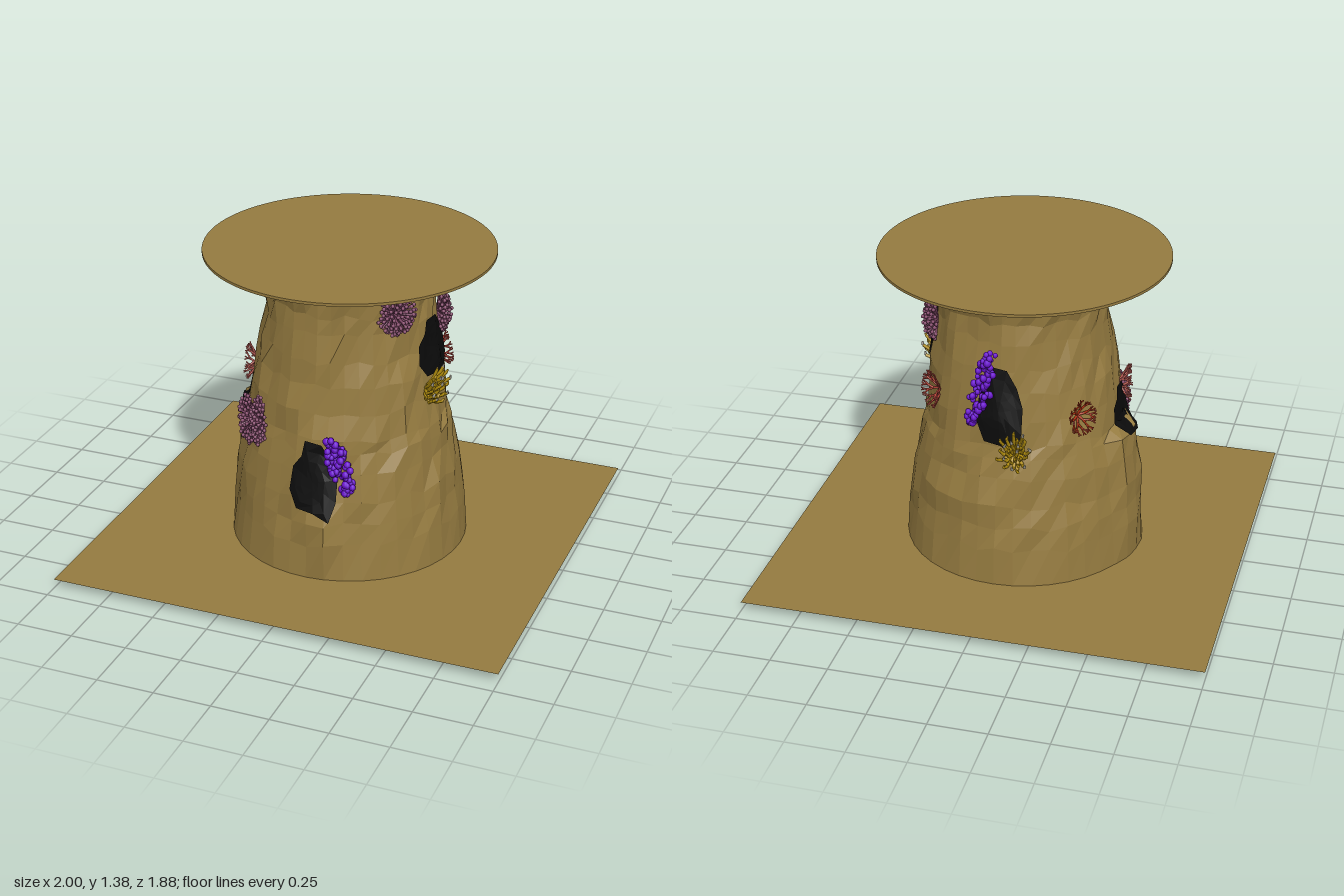
import * as THREE from 'three';
import { mergeGeometries } from 'three/addons/utils/BufferGeometryUtils.js';

const V = (x, y, z) => new THREE.Vector3(x, y, z);
const mat = (name, color, side = THREE.FrontSide) => {
  const m = new THREE.MeshStandardMaterial({ color, side });
  m.name = name;
  return m;
};

// Seeded random numbers
let seed = 7;
const rnd = (a = 0, b = 1) => {
  seed = (seed * 16807) % 2147483647;
  return a + (b - a) * (seed / 2147483647);
};

// Rock column: rows of [height, radius], angle 0 faces +z and grows towards +x
const ROWS = [[0.037, 0.525], [0.2, 0.507], [0.3, 0.497], [0.4, 0.487], [0.52, 0.462], [0.61, 0.445],
  [0.66, 0.435], [0.78, 0.417], [0.9, 0.4], [1.0, 0.382], [1.12, 0.366], [1.2, 0.362], [1.29, 0.375]];
const COLS = 40;
const TAU = Math.PI * 2;
const hat = (t, centre, width) => {
  const d = Math.abs(Math.atan2(Math.sin(t - centre), Math.cos(t - centre)));
  return Math.max(0, Math.min(1, 1.6 * (1 - d / width)));
};
const LIP = -Math.PI / 2 - 0.12;

// Table of radii with chiselled irregularity and the ledges under two caves
const radii = ROWS.map(([y, r], j) => Array.from({ length: COLS }, (_, i) => {
  const t = (i / COLS) * TAU;
  let out = r + (j === 0 ? 0 : rnd(-0.011, 0.011));
  if (y < 0.63) out += hat(t, LIP, 0.4) * (0.012 + 0.075 * y);
  if (y > 0.19 && y < 0.35) out += hat(t, 0.12, 0.22) * 0.025;
  return out;
}));

// Radius of the rock anywhere on its side
function rockRadius(t, y) {
  const u = ((t / TAU) % 1 + 1) % 1 * COLS;
  const i = Math.floor(u) % COLS, f = u - Math.floor(u), k = (i + 1) % COLS;
  let j = 0;
  while (j < ROWS.length - 2 && y > ROWS[j + 1][0]) j++;
  const g = (y - ROWS[j][0]) / (ROWS[j + 1][0] - ROWS[j][0]);
  const at = (row) => radii[row][i] * (1 - f) + radii[row][k] * f;
  return at(j) * (1 - g) + at(j + 1) * g;
}
const onRock = (t, y, off = 0) => {
  const r = rockRadius(t, y) + off;
  return V(Math.sin(t) * r, y, Math.cos(t) * r);
};

function flat(points, index) {
  let g = new THREE.BufferGeometry().setFromPoints(points);
  g.setIndex(index);
  g = g.toNonIndexed();
  g.computeVertexNormals();
  return g;
}

function rockGeometry() {
  const pts = [], idx = [];
  ROWS.forEach(([y], j) => {
    for (let i = 0; i < COLS; i++) {
      const t = (i / COLS) * TAU, r = radii[j][i];
      const dy = j === 0 ? -0.037 * hat(t, LIP - 0.2, 0.22) : rnd(-0.016, 0.016);
      pts.push(V(Math.sin(t) * r, y + dy, Math.cos(t) * r));
      if (j === 0) continue;
      const k = (i + 1) % COLS, a = (j - 1) * COLS, b = j * COLS;
      idx.push(a + i, a + k, b + k, a + i, b + k, b + i);
    }
  });
  // Closed underside
  pts.push(V(0, 0.037, 0));
  for (let i = 0; i < COLS; i++) idx.push(pts.length - 1, (i + 1) % COLS, i);
  return flat(pts, idx);
}

// Flared underside of the top disc
function flareGeometry() {
  const pts = [], idx = [];
  for (let j = 0; j < 3; j++) for (let i = 0; i < COLS; i++) {
    const t = (i / COLS) * TAU;
    const r = [0.36, 0.49 + rnd(-0.012, 0.012), 0.626][j];
    pts.push(V(Math.sin(t) * r, [1.26, 1.315, 1.368][j], Math.cos(t) * r));
    if (j === 0) continue;
    const k = (i + 1) % COLS, a = (j - 1) * COLS, b = j * COLS;
    idx.push(a + i, a + k, b + k, a + i, b + k, b + i);
  }
  return flat(pts, idx);
}

// Dark cave mouth laid on the rock; outline in units of half width and half height
const MOUTH = [[-0.45, 1], [0.3, 0.95], [0.75, 0.55], [1, 0.1], [0.95, -0.5], [0.7, -1],
  [0.1, -0.8], [-0.6, -0.75], [-0.95, -0.3], [-0.9, 0.3], [-0.55, 0.6]];
function caveGeometry(t, y, w, h) {
  const pts = [onRock(t, y, 0.012)], idx = [], n = MOUTH.length, rings = 4;
  for (let s = 1; s <= rings; s++) MOUTH.forEach(([a, b], i) => {
    const f = s / rings, yy = y + b * h * f;
    pts.push(onRock(t + (a * w * f) / rockRadius(t, y), yy, 0.012));
    const k = (i + 1) % n, c = 1 + (s - 1) * n, d = c - n;
    if (s === 1) idx.push(0, c + k, c + i);
    else idx.push(d + i, d + k, c + k, d + i, c + k, c + i);
  });
  return flat(pts, idx);
}

// Coral building blocks, local z points away from the rock
function limb(a, b, r0, r1) {
  const d = b.clone().sub(a);
  const g = new THREE.CylinderGeometry(r1, r0, d.length(), 5, 1);
  g.applyQuaternion(new THREE.Quaternion().setFromUnitVectors(V(0, 1, 0), d.normalize()));
  return g.translate(...a.clone().add(b).multiplyScalar(0.5).toArray());
}
const ball = (p, r) => new THREE.SphereGeometry(r, 7, 5).translate(p.x, p.y, p.z);

// Dome of knobbed tentacles
function anemone(w, h, depth) {
  const parts = [], n = 80;
  for (let i = 0; i < n; i++) {
    const z = (i + 0.5) / n, q = Math.sqrt(1 - z * z), a = i * 2.4, s = rnd(0.85, 1.02);
    const tip = V(Math.cos(a) * q * w * s, Math.sin(a) * q * h * s, z * depth * s + 0.008);
    parts.push(limb(V(tip.x * 0.2, tip.y * 0.2, 0), tip, 0.004, 0.006), ball(tip, 0.0085));
  }
  return [mergeGeometries(parts)];
}

// Leaning bank of round beads
function beads(lean, h) {
  const parts = [], n = 75;
  for (let i = 0; i < n; i++) {
    const f = (i / (n - 1)) * 2 - 1;
    const spread = 0.042 * Math.sqrt(1.15 - f * f);
    parts.push(ball(V(lean * f + rnd(-1, 1) * spread, f * h, rnd(0, 0.035)), rnd(0.011, 0.018)));
  }
  return [mergeGeometries(parts)];
}

// Tuft of curling fingers with pale tips
function fingers(w, h) {
  const parts = [], tips = [];
  for (let i = 0; i < 26; i++) {
    const a = i * 2.4, q = Math.sqrt((i + 0.5) / 26);
    const mid = V(Math.cos(a) * q * w * 0.75, Math.sin(a) * q * h * 0.8 - 0.015, 0.035);
    const end = V(Math.cos(a) * q * w, Math.sin(a) * q * h + 0.01, rnd(0.05, 0.075));
    const tip = end.clone().add(V(rnd(-0.008, 0.008), 0.014, 0.006));
    parts.push(limb(V(0, -0.02, -0.01), mid, 0.009, 0.008), limb(mid, end, 0.008, 0.007), ball(mid, 0.008));
    (i % 3 ? parts : tips).push(limb(end, tip, 0.007, 0.004));
  }
  return [mergeGeometries(parts), mergeGeometries(tips)];
}

// Forking antler coral
function antlers(w, h) {
  const parts = [];
  const grow = (p, dir, len, r, level) => {
    const e = p.clone().addScaledVector(dir, len);
    e.z = Math.max(e.z, 0.01);
    parts.push(limb(p, e, r, r * 0.8), ball(e, r * 0.85));
    if (level === 0) return;
    for (const s of [-1, 1]) {
      const d = dir.clone().applyAxisAngle(V(0, 0, 1), s * rnd(0.35, 0.75));
      grow(e, d.add(V(0, 0.1, rnd(-0.15, 0.3))).normalize(), len * 0.72, r * 0.82, level - 1);
    }
  };
  for (let i = 0; i < 6; i++) {
    const a = (i / 6) * TAU + 0.3;
    grow(V(0, 0, -0.01), V(Math.cos(a), Math.sin(a), 0.55).normalize(), 0.045, 0.0085, 3);
  }
  return [mergeGeometries(parts).scale(w / 0.12, h / 0.12, 0.8)];
}

export function createModel() {
  seed = 91;
  const model = new THREE.Group();
  const stone = mat('sandstone', 0x957b40);
  const sand = mat('sand', 0x957b40, THREE.DoubleSide);
  const dark = mat('cave black', 0x0b0b0b, THREE.DoubleSide);
  const mauve = mat('mauve', 0x8a4f70);
  const purple = mat('purple', 0x6a0fd0);
  const yellow = mat('yellow', 0xb8930f);
  const pale = mat('pale grey', 0xa09a8c);
  const red = mat('red', 0xb8453a);
  const orange = mat('orange red', 0xb53312);
  const salmon = mat('salmon', 0xc4625a);
  const add = (name, geo, material, parent = model) => {
    const m = new THREE.Mesh(geo, material);
    m.name = name;
    parent.add(m);
    return m;
  };

  // Ground sheet, rock and top disc
  add('ground', new THREE.PlaneGeometry(2, 1.875).rotateX(-Math.PI / 2).translate(0, 0.041, 0), sand);
  add('rockColumn', rockGeometry(), stone);
  add('flare', flareGeometry(), stone);
  add('topDisc', new THREE.CylinderGeometry(0.627, 0.627, 0.012, 80).translate(0, 1.374, 0), stone);

  // Cave mouths: angle, height, half width, half height
  const H = Math.PI / 2;
  [['frontCave', 0.04, 0.49, 0.105, 0.17], ['rightCave', H - 0.06, 0.985, 0.13, 0.14],
    ['backCave', Math.PI, 0.83, 0.1, 0.19], ['leftCave', -H - 0.03, 0.7, 0.1, 0.12]]
    .forEach(([name, ...c]) => add(name, caveGeometry(...c), dark));

  // Corals: angle and height on the rock, then geometry with its materials
  const coral = (name, t, y, geos, mats) => {
    const g = new THREE.Group();
    g.name = name;
    g.position.copy(onRock(t, y));
    g.rotation.y = t;
    geos.forEach((geo, i) => add(name + (i ? 'Tips' : 'Body'), geo, mats[i], g));
    model.add(g);
  };
  coral('anemoneUpperFront', 0.9, 1.2, anemone(0.09, 0.09, 0.055), [mauve]);
  coral('anemoneUpperRight', H + 0.34, 1.085, anemone(0.07, 0.1, 0.055), [mauve]);
  coral('anemoneLowerOuter', -0.93, 0.62, anemone(0.085, 0.125, 0.05), [mauve]);
  coral('anemoneLowerInner', -0.66, 0.66, anemone(0.05, 0.125, 0.045), [mauve]);
  coral('beadCoralFront', 0.28, 0.565, beads(-0.035, 0.125), [purple]);
  coral('beadCoralBack', Math.PI - 0.19, 0.92, beads(0.045, 0.17), [purple]);
  coral('fingerCoralRight', H - 0.25, 0.84, fingers(0.085, 0.085), [yellow, pale]);
  coral('fingerCoralBack', Math.PI + 0.17, 0.67, fingers(0.075, 0.1), [yellow, pale]);
  coral('antlerCoralRight', H + 0.74, 0.83, antlers(0.095, 0.1), [red]);
  coral('antlerCoralBack', Math.PI + 0.83, 0.78, antlers(0.085, 0.1), [orange]);
  coral('antlerCoralLeft', -H + 0.12, 0.79, antlers(0.08, 0.105), [salmon]);
  return model;
}
